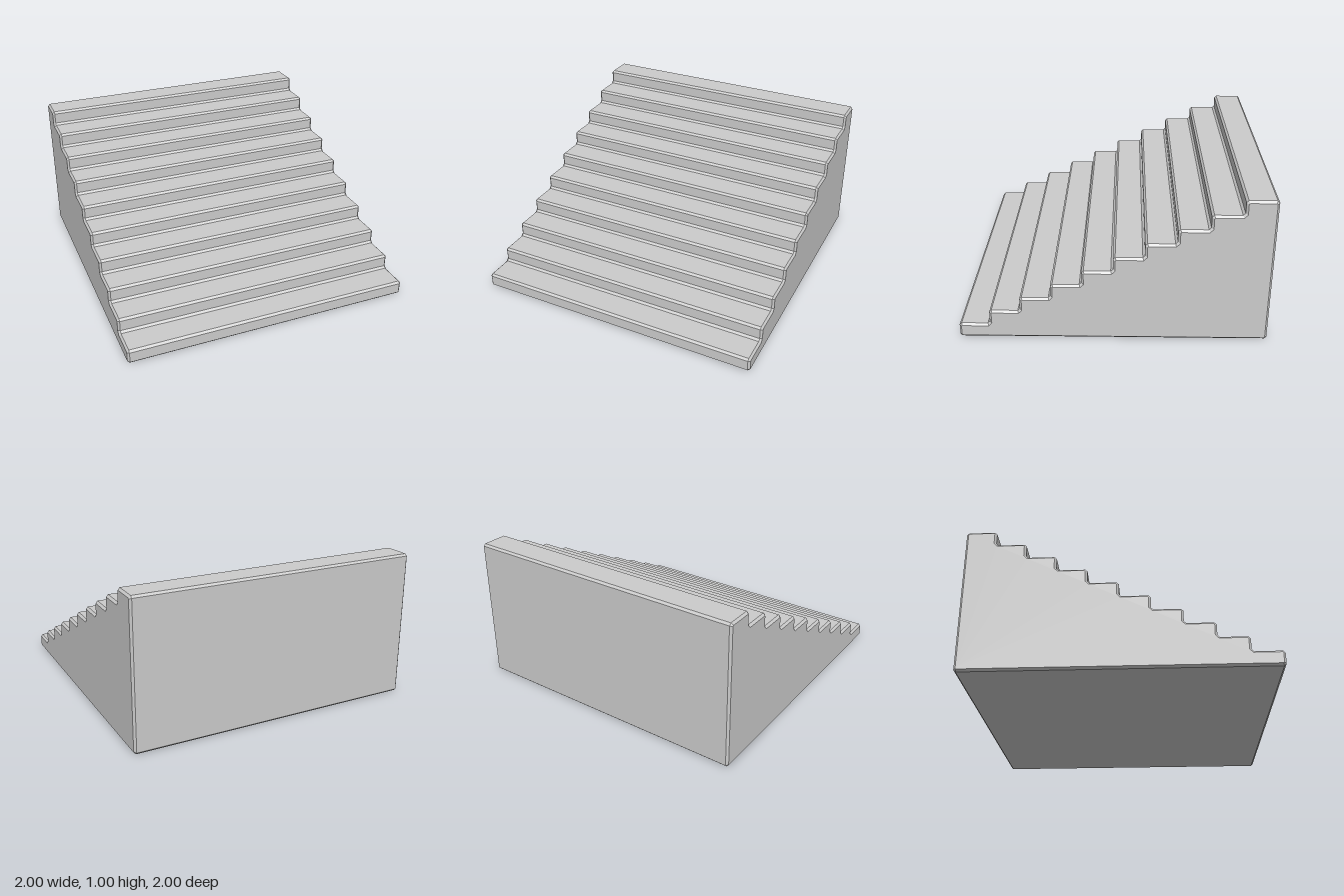
import * as THREE from 'three';

const STEPS = 10, RISE = 0.1, RUN = 0.2, BEVEL = 0.014;

// Replace every corner of a closed outline with a small chamfer.
function chamfered(corners, size) {
  const points = [];
  corners.forEach((corner, i) => {
    const prev = corners[(i + corners.length - 1) % corners.length];
    const next = corners[(i + 1) % corners.length];
    for (const other of [prev, next]) {
      points.push(other.clone().sub(corner).setLength(size).add(corner));
    }
  });
  return new THREE.Shape(points);
}

export function createModel() {
  const group = new THREE.Group();
  group.name = 'staircase';

  // Side outline in (z, y): base, back wall, then down the steps to the front
  const corners = [new THREE.Vector2(1, 0), new THREE.Vector2(-1, 0)];
  corners.reverse();
  for (let i = 0; i < STEPS; i++) {
    const z = 1 - i * RUN;
    if (i > 0) corners.push(new THREE.Vector2(z, i * RISE));
    corners.push(new THREE.Vector2(z, (i + 1) * RISE));
  }
  corners.push(new THREE.Vector2(-1, STEPS * RISE));

  // Solid flight across the full width, with bevelled side edges
  const geometry = new THREE.ExtrudeGeometry(chamfered(corners, BEVEL), {
    depth: 2 - 2 * BEVEL,
    bevelEnabled: true,
    bevelThickness: BEVEL,
    bevelSize: BEVEL,
    bevelOffset: -BEVEL,
    bevelSegments: 1,
  });
  geometry.translate(0, 0, BEVEL - 1);
  geometry.rotateY(-Math.PI / 2);

  const steps = new THREE.Mesh(
    geometry,
    new THREE.MeshStandardMaterial({ color: 0xcccccc, flatShading: true })
  );
  steps.name = 'steps';
  group.add(steps);
  return group;
}
